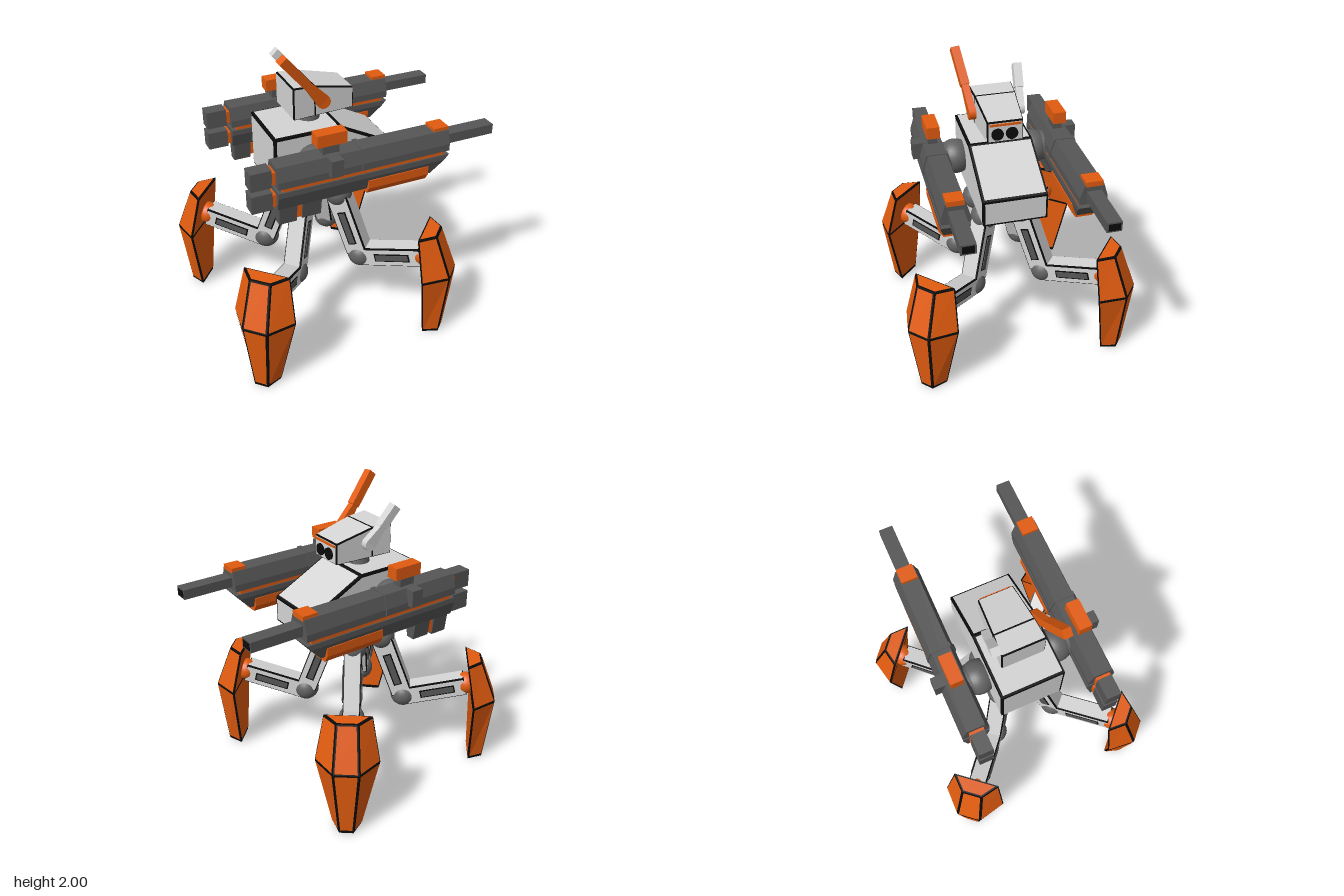
import * as THREE from 'three';

const V = (x, y, z) => new THREE.Vector3(x, y, z);
const mat = (name, color) => {
  const m = new THREE.MeshStandardMaterial({ color });
  m.name = name;
  return m;
};
const MID = 0.0225; // z of the centre line

export function createModel() {
  const orange = mat('orange', 0xe25c10), light = mat('lightGrey', 0xd4d4d4);
  const dark = mat('darkGrey', 0x565656), joint = mat('jointGrey', 0x626262);
  const black = mat('black', 0x0b0b0b);
  const model = new THREE.Group();
  model.name = 'walker';

  const add = (parent, name, geo, m, x = 0, y = 0, z = 0) => {
    const mesh = new THREE.Mesh(geo, m);
    mesh.name = name;
    mesh.position.set(x, y, z);
    parent.add(mesh);
    return mesh;
  };
  // Box given by its limits in x and y, its middle z and half depth
  const block = (parent, name, m, x0, x1, y0, y1, z, half) =>
    add(parent, name, new THREE.BoxGeometry(x1 - x0, y1 - y0, half * 2), m, (x0 + x1) / 2, (y0 + y1) / 2, z);

  // Flat-faced convex solid from rings; faces may be inset and lifted to form panels
  const loft = (rings, inset = 0, lift = 0) => {
    const n = rings[0].length, faces = [rings[0], rings[rings.length - 1]];
    for (let r = 0; r + 1 < rings.length; r++)
      for (let i = 0; i < n; i++) {
        const j = (i + 1) % n;
        faces.push([rings[r][i], rings[r][j], rings[r + 1][j], rings[r + 1][i]]);
      }
    const mid = V(0, 0, 0);
    rings.flat().forEach(p => mid.addScaledVector(p, 1 / (n * rings.length)));
    const pos = [];
    for (let f of faces) {
      const c = V(0, 0, 0), normal = V(0, 0, 0);
      f.forEach((p, i) => {
        c.addScaledVector(p, 1 / f.length);
        normal.add(p.clone().cross(f[(i + 1) % f.length]));
      });
      normal.normalize();
      if (normal.dot(c.clone().sub(mid)) < 0) {
        f = [...f].reverse();
        normal.negate();
      }
      const q = f.map((p, i) => {
        const a = f[(i + f.length - 1) % f.length].clone().sub(p).normalize();
        const b = f[(i + 1) % f.length].clone().sub(p).normalize();
        const s = Math.max(0.2, a.clone().cross(b).length());
        return p.clone().addScaledVector(a.add(b), inset / s).addScaledVector(normal, lift);
      });
      for (let i = 1; i + 1 < q.length; i++)
        [q[0], q[i], q[i + 1]].forEach(p => pos.push(p.x, p.y, p.z));
    }
    const g = new THREE.BufferGeometry();
    g.setAttribute('position', new THREE.Float32BufferAttribute(pos, 3));
    g.computeVertexNormals();
    return g;
  };
  // Coloured panels over a black core, leaving dark seams at the edges
  const panelled = (parent, name, rings, m, seam) => {
    add(parent, name + 'Seams', loft(rings), black);
    add(parent, name, loft(rings, seam, 0.004), m);
  };
  // Four-sided ring around p, spanned by two half-axes
  const ringAt = (p, u, v) => [[1, 1], [-1, 1], [-1, -1], [1, -1]].map(([a, b]) =>
    p.clone().addScaledVector(u, a).addScaledVector(v, b));
  // Tapered bar between two points
  const bar = (a, b, wa, wb, depth) => {
    const d = b.clone().sub(a).normalize(), side = V(0, 0, 1);
    const up = side.clone().cross(d).normalize();
    side.crossVectors(d, up);
    return [[a, wa], [b, wb]].map(([p, w]) =>
      ringAt(p, up.clone().multiplyScalar(w / 2), side.clone().multiplyScalar(depth / 2)));
  };
  const ball = r => new THREE.SphereGeometry(r, 24, 16);

  // Body: side profile swept across the width
  const body = new THREE.Group();
  body.name = 'body';
  model.add(body);
  const profile = [[-0.455, 1.105], [0.358, 1.105], [0.358, 1.28], [-0.02, 1.475], [-0.455, 1.475]];
  panelled(body, 'hull', [MID - 0.207, MID + 0.207].map(z => profile.map(([x, y]) => V(x, y, z))), light, 0.013);
  add(body, 'pelvis', new THREE.CylinderGeometry(0.11, 0.17, 0.16, 24), joint, -0.12, 1.03, 0.016);
  add(body, 'pelvisBase', new THREE.CylinderGeometry(0.12, 0.1, 0.1, 8), dark, -0.12, 0.95, 0.016);
  add(body, 'neck', new THREE.CylinderGeometry(0.06, 0.075, 0.08, 20), joint, -0.15, 1.51, MID);

  // Head: widens and rises toward the back
  const head = new THREE.Group();
  head.name = 'head';
  model.add(head);
  const headRing = (x, y0, y1, h) => [V(x, y0, MID - h), V(x, y1, MID - h), V(x, y1, MID + h), V(x, y0, MID + h)];
  panelled(head, 'skull', [headRing(-0.3, 1.545, 1.75, 0.14), headRing(-0.16, 1.545, 1.74, 0.131),
    headRing(0.103, 1.545, 1.68, 0.113)], light, 0.005);
  block(head, 'browStripe', orange, 0.105, 0.113, 1.655, 1.67, MID, 0.1);
  for (const s of [-1, 1]) {
    const eye = add(head, 'eye', new THREE.CylinderGeometry(0.039, 0.039, 0.02, 20), black, 0.108, 1.6, MID + 0.006 + s * 0.046);
    eye.rotation.z = Math.PI / 2;
  }

  // Ears: tapered stem on a round pivot, then a straight blade
  const ear = (name, m, base, bend, tip) => {
    const g = new THREE.Group();
    g.name = name;
    model.add(g);
    const pivot = add(g, 'earPivot', new THREE.CylinderGeometry(0.043, 0.043, 0.045, 20), m, base.x, base.y, base.z);
    pivot.rotation.x = Math.PI / 2;
    add(g, 'earStem', loft(bar(base, bend, 0.085, 0.045, 0.045)), m);
    add(g, 'earBlade', loft(bar(bend, tip, 0.058, 0.058, 0.055)), m);
  };
  ear('leftEar', orange, V(-0.12, 1.65, 0.185), V(-0.235, 1.79, 0.2), V(-0.395, 1.98, 0.228));
  ear('rightEar', light, V(-0.12, 1.65, -0.13), V(-0.2, 1.75, -0.143), V(-0.3, 1.87, -0.155));

  // Arm guns, one on each side
  for (const s of [-1, 1]) {
    const gun = new THREE.Group();
    gun.name = s > 0 ? 'leftGun' : 'rightGun';
    gun.position.z = MID + s * 0.4175;
    model.add(gun);
    add(gun, 'shoulder', ball(0.115), joint, -0.215, 1.3, -s * 0.155);
    const arm = add(gun, 'shoulderAxle', new THREE.CylinderGeometry(0.1, 0.1, 0.24, 20), joint, -0.215, 1.3, -s * 0.15);
    arm.rotation.x = Math.PI / 2;

    // Half outlines (y, half depth) mirrored into full sections, sheared at the front
    const section = (half, x) => [...half, ...half.map(([y, h]) => [y, -h]).reverse()].map(([y, h]) => V(x(y), y, h));
    const upper = [[1.452, 0.06], [1.365, 0.087], [1.32, 0.087]];
    const lower = [[1.295, 0.087], [1.26, 0.087], [1.17, 0.06]];
    add(gun, 'upperHousing', loft([section(upper, () => -0.55), section(upper, () => 0.586)]), dark);
    add(gun, 'lowerHousing', loft([section(lower, () => -0.55), section(lower, y => 0.586 - (1.295 - y) * 0.89)]), dark);
    const band = upper.map(([y, h]) => [y + 0.005, h + 0.008]);
    add(gun, 'housingBand', loft([section(band, () => -0.015), section(band, () => 0.015)]), dark);
    block(gun, 'middleStripe', orange, -0.52, 0.55, 1.29, 1.325, 0, 0.078);
    block(gun, 'barrel', dark, 0.58, 0.926, 1.345, 1.41, 0, 0.046);
    block(gun, 'muzzle', black, 0.924, 0.929, 1.355, 1.4, 0, 0.036);
    block(gun, 'frontSight', orange, 0.487, 0.588, 1.44, 1.473, 0, 0.054);
    block(gun, 'topBlock', orange, -0.287, -0.095, 1.51, 1.588, 0, 0.042);
    block(gun, 'topMount', dark, -0.245, -0.14, 1.44, 1.515, 0, 0.03);
    block(gun, 'sidePeg', dark, -0.235, -0.157, 1.345, 1.455, s * 0.08, 0.05);

    // Under-barrel tray with sloping sides
    const tray = [[1.237, 0.086], [1.18, 0.084], [1.135, 0.055]];
    add(gun, 'underTray', loft([section(tray, () => 0.032), section(tray, () => 0.445)]), orange);

    // Rear exhaust blocks with orange collars
    for (const y of [1.38, 1.23]) {
      block(gun, 'rearBlock', dark, -0.703, -0.572, y - 0.058, y + 0.058, 0, 0.047);
      block(gun, 'rearCollar', orange, -0.575, -0.54, y - 0.04, y + 0.04, 0, 0.047);
    }

    // Magazine blocks below the rear
    const mag = y0 => [[1.18, 0.05], [y0, 0.03]];
    add(gun, 'rearMagazine', loft([section(mag(1.042), () => -0.533), section(mag(1.042), () => -0.42)]), dark);
    add(gun, 'frontMagazine', loft([section(mag(1.052), () => -0.385), section(mag(1.052), () => -0.262)]), dark);
    block(gun, 'magazineLink', orange, -0.425, -0.38, 1.065, 1.15, 0, 0.03);
  }

  // Legs: local +x points outward from the pelvis
  const footRing = (y, ri, hi, ro, ho) => [V(ri, y, -hi), V(ro, y, -ho), V(ro, y, ho), V(ri, y, hi)];
  [45, 134.3, 220, -50.8].forEach((deg, i) => {
    const leg = new THREE.Group();
    leg.name = ['frontLeftLeg', 'backLeftLeg', 'backRightLeg', 'frontRightLeg'][i];
    leg.position.set(-0.12, 0, 0.016);
    leg.rotation.y = -deg * Math.PI / 180;
    model.add(leg);
    const hip = V(0.18, 0.945, 0), knee = V(0.345, 0.49, 0), ankle = V(0.8, 0.6, 0);
    add(leg, 'hip', ball(0.092), joint, hip.x, hip.y, 0);
    add(leg, 'knee', ball(0.088), joint, knee.x, knee.y, 0);
    add(leg, 'ankle', ball(0.075), orange, 0.78, 0.595, 0);
    const limb = (name, a, b, w) => {
      const at = t => a.clone().lerp(b, t);
      panelled(leg, name, bar(at(0.04), at(0.94), w, w, 0.115), light, 0.006);
      // Dark slots let into both flanks
      add(leg, name + 'SlotFrame', loft(bar(at(0.26), at(0.78), 0.058, 0.058, 0.128)), black);
      add(leg, name + 'Slot', loft(bar(at(0.28), at(0.76), 0.04, 0.04, 0.136)), dark);
    };
    limb('thigh', hip, knee, 0.14);
    limb('shin', knee, ankle, 0.13);

    // Armoured foot
    panelled(leg, 'foot', [footRing(0.008, 0.83, 0.09, 0.93, 0.045), footRing(0.025, 0.83, 0.096, 0.932, 0.047),
      footRing(0.5, 0.825, 0.203, 0.98, 0.08), footRing(0.795, 0.77, 0.15, 0.87, 0.065)], orange, 0.009);
  });
  return model;
}
